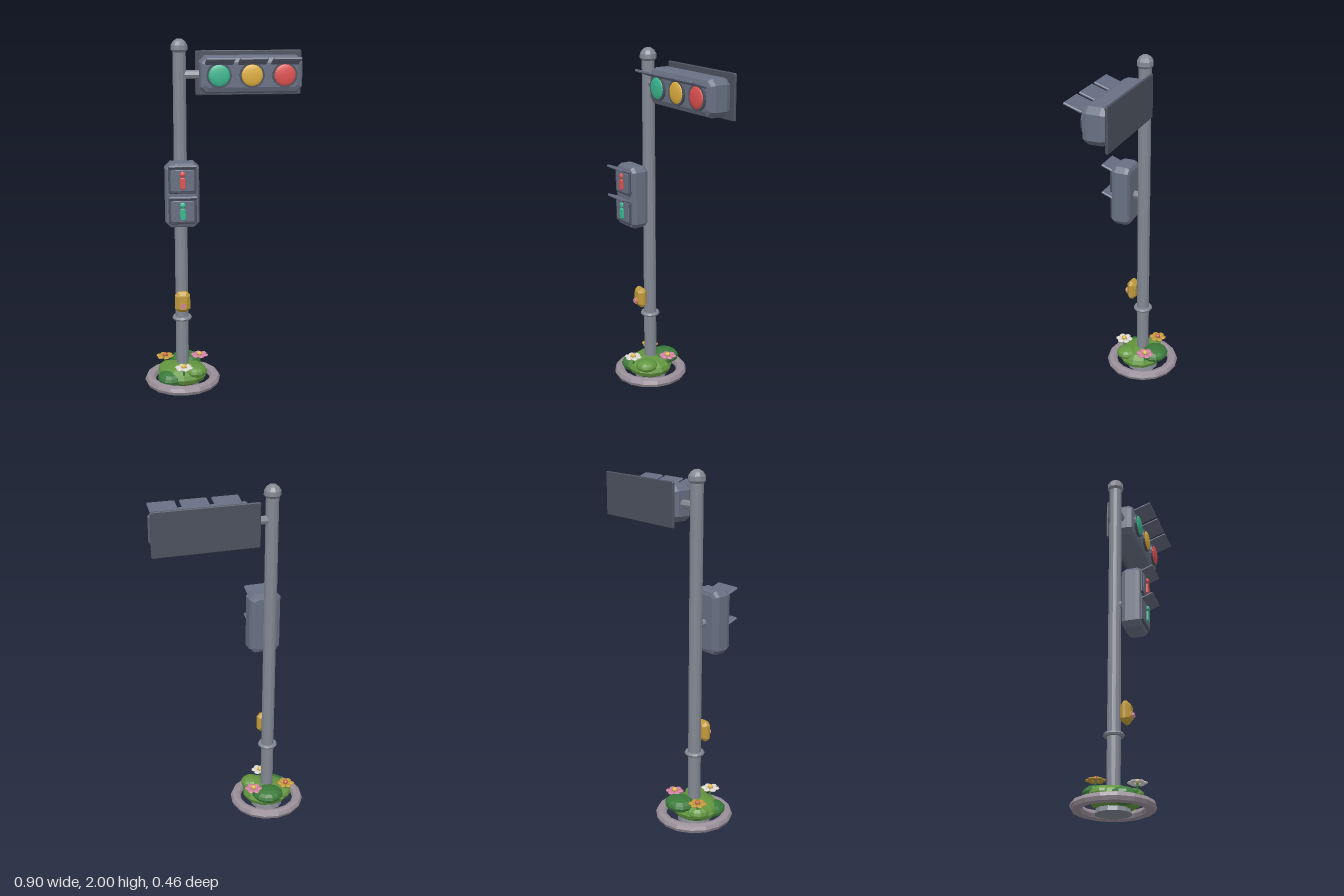
import * as THREE from 'three';

const PX = -0.232, PZ = -0.01; // pole axis

const paint = (color) => new THREE.MeshStandardMaterial({ color, flatShading: true });
const M = {
  pole: paint(0x838892), housing: paint(0x687082), dark: paint(0x4c5260), visor: paint(0x666c80),
  curb: paint(0x9a8f99), light: paint(0x63963f), deep: paint(0x3b7a3a), gold: paint(0xc09a3c),
  red: paint(0xe05252), amber: paint(0xe0b040), green: paint(0x3cb890),
  pink: paint(0xd080a0), white: paint(0xdcd8d0), orange: paint(0xcc6a40), yellow: paint(0xe0b850),
};

export function createModel() {
  const root = new THREE.Group();

  function add(name, geo, mat, x, y, z, parent = root) {
    const mesh = new THREE.Mesh(geo, mat);
    mesh.name = name;
    mesh.position.set(x, y, z);
    parent.add(mesh);
    return mesh;
  }

  // Box with cut corners and bevelled front and back, centred on its origin
  function chamferBox(w, h, d, cut, bevel, steps = 2) {
    const a = w / 2 - bevel, b = h / 2 - bevel;
    const shape = new THREE.Shape([
      [-a + cut, -b], [a - cut, -b], [a, -b + cut], [a, b - cut],
      [a - cut, b], [-a + cut, b], [-a, b - cut], [-a, -b + cut],
    ].map(([x, y]) => new THREE.Vector2(x, y)));
    const geo = new THREE.ExtrudeGeometry(shape, {
      depth: d - 2 * bevel, bevelThickness: bevel, bevelSize: bevel, bevelSegments: steps,
    });
    return geo.translate(0, 0, -d / 2 + bevel);
  }

  // Disc or rod running along z
  const rodZ = (r, len, sides) => new THREE.CylinderGeometry(r, r, len, sides).rotateX(Math.PI / 2);

  // Thin brow from (y0, z0) rising to (y1, z1)
  function addVisor(name, x, w, y0, z0, y1, z1) {
    const visor = add(name, chamferBox(w, 0.014, Math.hypot(y1 - y0, z1 - z0), 0.003, 0.003, 1),
      M.visor, x, (y0 + y1) / 2, (z0 + z1) / 2);
    visor.rotation.x = -Math.atan2(y1 - y0, z1 - z0);
  }

  // Pole, foot, cap and collar
  add('pole', new THREE.CylinderGeometry(0.036, 0.037, 1.93, 12), M.pole, PX, 0.975, PZ);
  add('poleFoot', new THREE.CylinderGeometry(0.085, 0.095, 0.035, 12), M.pole, PX, 0.0175, PZ);
  const cap = [[0.034, 1.925], [0.047, 1.94], [0.046, 1.965], [0.034, 1.985], [0.016, 1.997], [0, 2]];
  add('poleCap', new THREE.LatheGeometry(cap.map(([r, y]) => new THREE.Vector2(r, y)), 10), M.pole, PX, 0, PZ);
  add('poleCollar', new THREE.TorusGeometry(0.045, 0.012, 6, 14).rotateX(Math.PI / 2), M.pole, PX, 0.415, PZ);

  // Curb ring
  add('curbRing', new THREE.TorusGeometry(0.189, 0.031, 8, 16).rotateX(Math.PI / 2).scale(1, 0.9, 1),
    M.curb, PX, 0.038, PZ);

  // Bushes: [x, y, z, rx, ry, rz, material]
  const bushes = [
    [-0.232, 0.075, 0.0, 0.145, 0.065, 0.135, M.light],
    [-0.21, 0.118, -0.1, 0.09, 0.042, 0.08, M.deep],
    [-0.305, 0.07, 0.06, 0.075, 0.045, 0.08, M.deep],
    [-0.16, 0.11, 0.065, 0.065, 0.036, 0.065, M.light],
    [-0.3, 0.085, -0.04, 0.075, 0.045, 0.075, M.light],
  ];
  bushes.forEach(([x, y, z, rx, ry, rz, mat]) =>
    add('bush', new THREE.SphereGeometry(1, 12, 8).scale(rx, ry, rz), mat, x, y, z));

  // Flowers with six petals
  function addFlower(x, z, petal, heart) {
    const flower = new THREE.Group();
    flower.name = 'flower';
    flower.position.set(x, 0.152, z);
    root.add(flower);
    for (let i = 0; i < 6; i++) {
      const a = (i * Math.PI) / 3 + 0.3;
      add('petal', new THREE.SphereGeometry(0.02, 8, 6).scale(1, 0.4, 1), petal,
        Math.cos(a) * 0.033, 0, Math.sin(a) * 0.033, flower);
    }
    add('flowerCentre', new THREE.SphereGeometry(0.016, 8, 6).scale(1, 0.8, 1), heart, 0, 0.008, 0, flower);
    add('stem', new THREE.CylinderGeometry(0.006, 0.006, 0.07, 5), M.deep, 0, -0.038, 0, flower);
  }
  addFlower(-0.332, -0.072, M.gold, M.orange);
  addFlower(-0.128, -0.068, M.pink, M.yellow);
  addFlower(-0.232, 0.115, M.white, M.yellow);

  // Call button box
  add('buttonBox', chamferBox(0.086, 0.12, 0.056, 0.008, 0.02, 1), M.gold, PX, 0.532, 0.057);
  add('callButtonRim', rodZ(0.022, 0.012, 10), M.gold, PX, 0.515, 0.086);
  add('callButton', rodZ(0.015, 0.018, 10), M.pink, PX, 0.515, 0.092);

  // Pedestrian signal
  add('pedestrianBracket', rodZ(0.022, 0.07, 8), M.pole, PX, 1.168, 0.035);
  add('pedestrianHousing', chamferBox(0.186, 0.36, 0.114, 0.012, 0.028), M.housing, PX, 1.172, 0.106);
  [[1.258, M.red], [1.088, M.green]].forEach(([y, mat]) => {
    add('pedestrianFrame', chamferBox(0.152, 0.142, 0.014, 0.008, 0.004, 1), M.dark, PX, y, 0.164);
    add('pedestrianPanel', chamferBox(0.128, 0.118, 0.014, 0.006, 0.003, 1), M.housing, PX, y, 0.167);
    add('figureHead', new THREE.SphereGeometry(0.016, 10, 6).scale(1, 1, 0.7), mat, PX, y + 0.036, 0.178);
    add('figureBody', chamferBox(0.03, 0.062, 0.018, 0.005, 0.003, 1), mat, PX, y - 0.014, 0.176);
    addVisor('pedestrianVisor', PX, 0.153, y + 0.064, 0.156, y + 0.09, 0.225);
  });

  // Traffic signal on its arm
  add('signalArm', new THREE.CylinderGeometry(0.024, 0.024, 0.16, 8).rotateZ(Math.PI / 2), M.pole, -0.155, 1.807, PZ);
  add('backPlate', chamferBox(0.59, 0.245, 0.015, 0.003, 0.004, 1), M.dark, 0.155, 1.808, -0.087);
  add('signalHousing', chamferBox(0.562, 0.2, 0.14, 0.012, 0.034), M.housing, 0.155, 1.808, -0.008);
  [M.green, M.amber, M.red].forEach((mat, i) => {
    const x = -0.023 + i * 0.178;
    add('lampRim', rodZ(0.068, 0.018, 20), M.dark, x, 1.807, 0.065);
    add('lamp', new THREE.SphereGeometry(0.058, 20, 6, 0, Math.PI * 2, 0, Math.PI / 2)
      .rotateX(Math.PI / 2).scale(1, 1, 0.2), mat, x, 1.807, 0.074);
    addVisor('signalVisor', x, 0.153, 1.868, 0.062, 1.903, 0.163);
  });

  return root;
}
